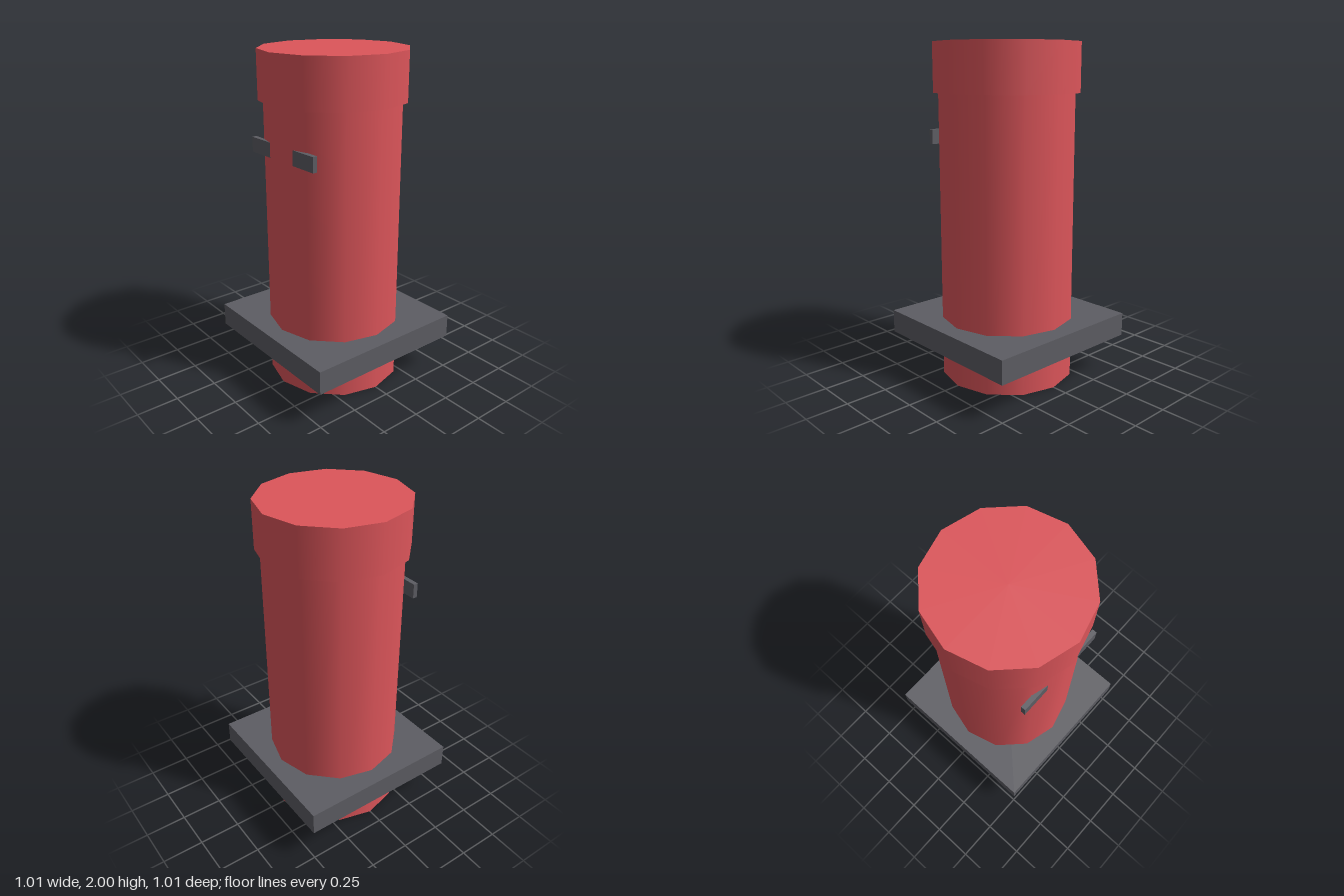
import * as THREE from 'three';

export function createModel() {
  const model = new THREE.Group();
  const red = new THREE.MeshStandardMaterial({ color: 0xdc555a, side: THREE.DoubleSide });
  red.name = 'red';
  const grey = new THREE.MeshStandardMaterial({ color: 0x5d5d63 });
  grey.name = 'dark grey';

  const SIDES = 12;

  function add(name, geometry, material, y, z = 0) {
    const mesh = new THREE.Mesh(geometry, material);
    mesh.name = name;
    mesh.position.set(0, y, z);
    model.add(mesh);
    return mesh;
  }

  // Smooth twelve-sided tube, open at both ends
  function tube(name, radius, bottom, top) {
    const height = top - bottom;
    add(name, new THREE.CylinderGeometry(radius, radius, height, SIDES, 1, true), red, bottom + height / 2);
  }

  // Body open at the foot, wider cap sleeve around its top
  tube('body', 0.404, 0, 1.99);
  tube('capWall', 0.433, 1.715, 2);

  // Flat lid, turned so that a corner faces the front like the walls
  const lid = new THREE.CircleGeometry(0.433, SIDES).rotateX(-Math.PI / 2);
  add('capLid', lid, red, 2);

  // Square collar near the foot
  add('collarPlate', new THREE.BoxGeometry(1.012, 0.142, 1.012), grey, 0.292);

  // Bar through the front of the body, its two ends showing as slits
  add('frontBar', new THREE.BoxGeometry(0.578, 0.088, 0.028), grey, 1.449, 0.361);

  return model;
}
